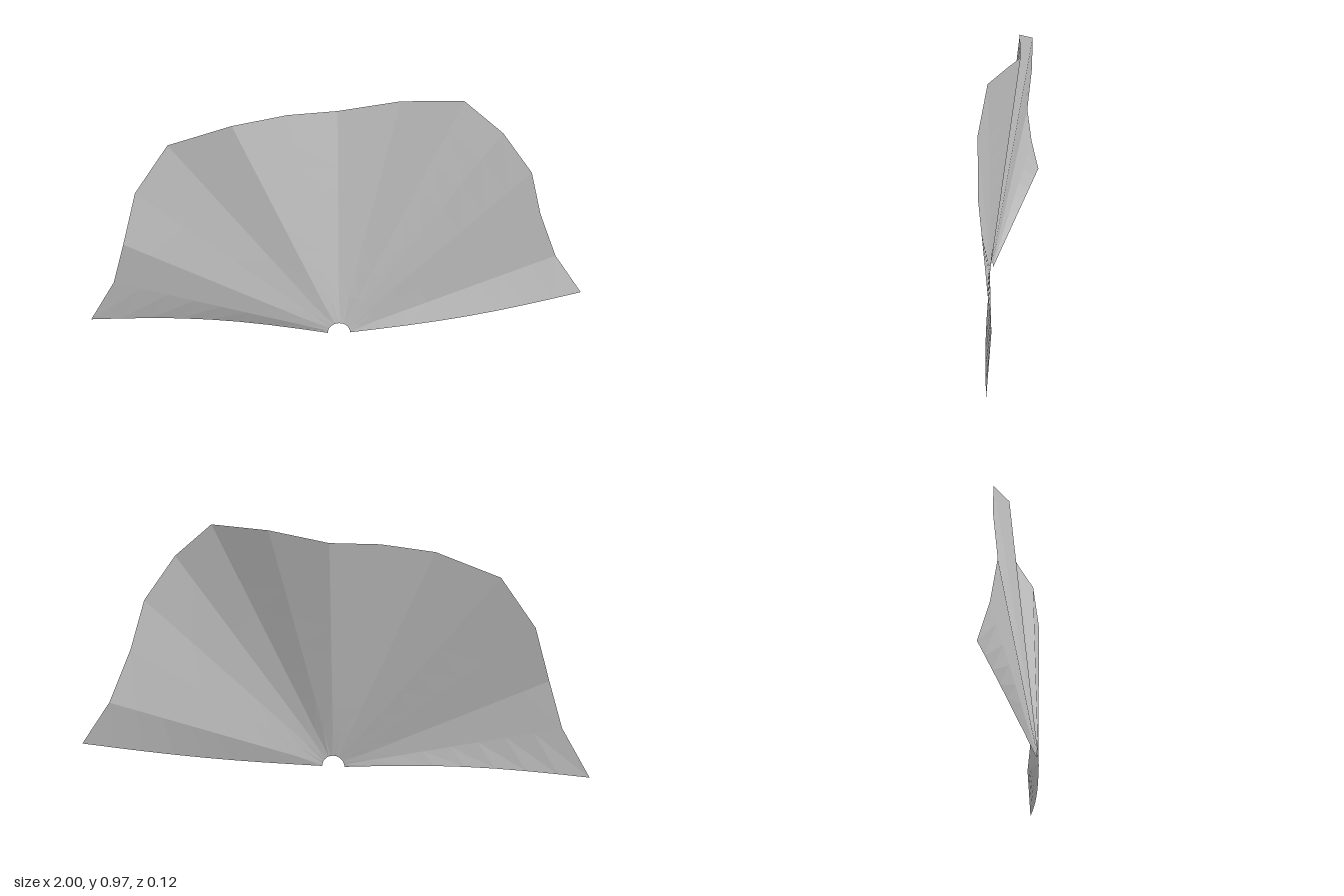
import * as THREE from 'three';

// Outer rim of the fan, counter-clockwise from its left corner: x, y, z
const RIM = [
  [1, 0.095, -0.058], [0.88, 0.27, -0.06], [0.795, 0.48, -0.027], [0.74, 0.675, 0.0],
  [0.615, 0.85, 0.018], [0.465, 0.976, 0.005], [0.235, 0.962, -0.038], [0, 0.92, -0.055],
  [-0.19, 0.916, -0.033], [-0.395, 0.887, -0.008], [-0.64, 0.8, -0.037], [-0.775, 0.61, -0.021],
  [-0.835, 0.4, 0.004], [-0.89, 0.22, -0.012], [-1, 0.035, -0.035],
];
const RINGS = 8;
const HUB_RADIUS = 0.045;

// Point on a pleat crease: t = 0 at the hub notch, t = 1 at the rim
function pleatPoint(i, t) {
  const last = RIM.length - 1;
  const a = (i / last) * Math.PI;
  const hub = [HUB_RADIUS * Math.cos(a), 0.004 + HUB_RADIUS * Math.sin(a), 0.059];
  const p = hub.map((h, k) => h + (RIM[i][k] - h) * t);
  const bow = Math.sin(Math.PI * t);
  // The two lower edges sag and arch slightly
  if (i === 0) { p[1] -= 0.015 * bow; p[2] += 0.009 * bow; }
  if (i === last) { p[1] += 0.025 * bow; p[2] -= 0.01 * bow; }
  return p;
}

export function createModel() {
  const group = new THREE.Group();
  group.name = 'pleatedFan';
  const membrane = new THREE.MeshStandardMaterial({ color: 0xcccccc, side: THREE.DoubleSide, flatShading: true });
  membrane.name = 'light grey';

  // Grid of creases and rings
  const positions = [];
  const index = [];
  const row = RINGS + 1;
  for (let i = 0; i < RIM.length; i++) {
    for (let j = 0; j <= RINGS; j++) positions.push(...pleatPoint(i, j / RINGS));
  }
  for (let i = 0; i < RIM.length - 1; i++) {
    for (let j = 0; j < RINGS; j++) {
      const a = i * row + j;
      index.push(a, a + 1, a + row + 1, a, a + row + 1, a + row);
    }
  }
  const geometry = new THREE.BufferGeometry();
  geometry.setAttribute('position', new THREE.Float32BufferAttribute(positions, 3));
  geometry.setIndex(index);
  const flat = geometry.toNonIndexed();
  flat.computeVertexNormals();

  const fan = new THREE.Mesh(flat, membrane);
  fan.name = 'fanMembrane';
  group.add(fan);
  return group;
}
